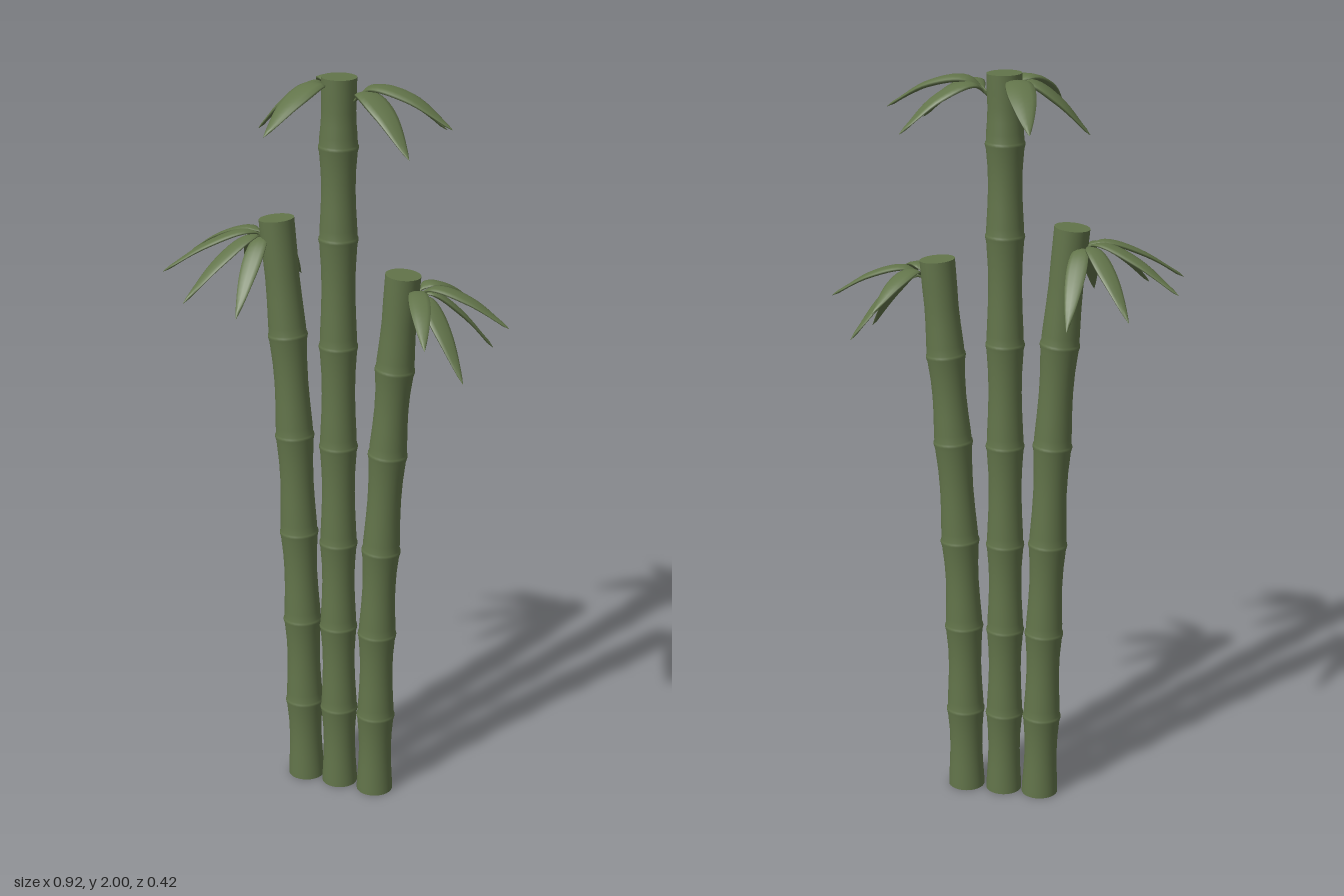
import * as THREE from 'three';
import { mergeVertices } from 'three/addons/utils/BufferGeometryUtils.js';

const green = new THREE.MeshStandardMaterial({ color: 0x62744a });
green.name = 'bamboo green';

// Weld seams and give smooth normals
function smooth(geo) {
  geo.deleteAttribute('uv');
  geo.deleteAttribute('normal');
  const g = mergeVertices(geo, 1e-5);
  g.computeVertexNormals();
  return g;
}

function part(name, geo) {
  const mesh = new THREE.Mesh(geo, green);
  mesh.name = name;
  return mesh;
}

// Jointed stalk: nodes are [y, centre x]; the first is the foot, the last the cut top
function makeStalk(name, nodes, R) {
  const group = new THREE.Group();
  group.name = name;
  const path = new THREE.CatmullRomCurve3(nodes.map(([y, x]) => new THREE.Vector3(x, y, 0)));
  const ys = nodes.map((n) => n[0]);
  const top = ys[ys.length - 1];
  const samples = path.getPoints(80);
  const centre = (y) => {
    const i = Math.max(1, samples.findIndex((p) => p.y >= y - 1e-6));
    const a = samples[i - 1], b = samples[i];
    return a.x + (b.x - a.x) * (y - a.y) / (b.y - a.y);
  };
  // Lean every ring along the path, keeping the foot flat
  const bend = (geo) => {
    const p = geo.attributes.position;
    for (let i = 0; i < p.count; i++) {
      const x = p.getX(i), y = p.getY(i);
      const y0 = Math.max(0, y - 0.02), y1 = Math.min(top, y + 0.02);
      const slope = y < 0.01 ? 0 : (centre(y1) - centre(y0)) / (y1 - y0);
      p.setXY(i, centre(y) + x, y - slope * x);
    }
    return smooth(geo);
  };
  const profile = [];
  const add = (r, y) => profile.push(new THREE.Vector2(r * R, y));
  for (let i = 0; i < ys.length - 1; i++) {
    const a = ys[i], b = ys[i + 1], h = b - a;
    add(0.97, a);
    add(0.96, a + 0.02);
    add(0.9, a + h * 0.3);
    add(0.87, a + h * 0.5);
    add(0.89, a + h * 0.7);
    if (i < ys.length - 2) {
      add(0.97, b - 0.022);
      add(1.03, b - 0.01);
      add(1.02, b - 0.004);
    } else add(0.9, b);
  }
  group.add(part('stem', bend(new THREE.LatheGeometry(profile, 28))));
  const lid = new THREE.CircleGeometry(R * 0.9, 28).rotateX(-Math.PI / 2).translate(0, top, 0);
  const foot = new THREE.CircleGeometry(R * 0.97, 28).rotateX(Math.PI / 2);
  group.add(part('cutTop', bend(lid)), part('foot', bend(foot)));
  return group;
}

// Arched leaf with a thin stalk, swept as a flat oval from base to tip
function makeLeaf(base, tip, width, lift) {
  const a = new THREE.Vector3(...base), b = new THREE.Vector3(...tip);
  const at = (t, up) => a.clone().lerp(b, t).add(new THREE.Vector3(0, up, 0));
  const curve = new THREE.CatmullRomCurve3([a, at(0.2, lift), at(0.58, lift), b]);
  const shape = (t) => {
    if (t < 0.16) return 0.1;
    const s = (t - 0.16) / 0.84;
    return 0.1 * (1 - s) + 0.95 * Math.pow(Math.sin(Math.PI * Math.pow(s, 0.88)), 0.85);
  };
  const geo = new THREE.CylinderGeometry(1, 1, 1, 10, 20, true);
  const p = geo.attributes.position;
  const up = new THREE.Vector3(0, 1, 0);
  const v = new THREE.Vector3();
  for (let i = 0; i < p.count; i++) {
    const t = Math.min(1, Math.max(0, p.getY(i) + 0.5));
    const tangent = curve.getTangent(t);
    const side = tangent.clone().cross(up).normalize();
    const normal = side.clone().cross(tangent);
    const w = Math.max(0.0005, shape(t) * width / 2);
    const thick = Math.max(w * 0.26, Math.min(w, 0.004));
    v.copy(curve.getPoint(t))
      .addScaledVector(side, p.getX(i) * w)
      .addScaledVector(normal, p.getZ(i) * thick);
    p.setXYZ(i, v.x, v.y, v.z);
  }
  return part('leaf', smooth(geo));
}

function makeLeaves(name, base, width, lift, tips) {
  const group = new THREE.Group();
  group.name = name;
  for (const tip of tips) group.add(makeLeaf(base, tip, width, lift));
  return group;
}

export function createModel() {
  const model = new THREE.Group();
  model.name = 'bamboo';

  model.add(
    makeStalk('middleStalk', [[0, 0.004], [0.24, 0.002], [0.49, 0], [0.74, 0], [1.02, 0], [1.3, 0],
      [1.59, 0], [1.83, 0], [2, 0.002]], 0.05),
    makeStalk('rightStalk', [[0, -0.098], [0.24, -0.103], [0.49, -0.108], [0.75, -0.117],
      [1.03, -0.128], [1.31, -0.146], [1.615, -0.175]], 0.051),
    makeStalk('leftStalk', [[0, 0.11], [0.24, 0.112], [0.49, 0.115], [0.74, 0.125],
      [1.02, 0.142], [1.26, 0.16], [1.51, 0.18]], 0.051),
  );

  // Leaf sprays near each cut top
  model.add(
    makeLeaves('middleLeavesLeft', [0.04, 1.94, 0], 0.072, 0.048,
      [[0.24, 1.86, -0.13], [0.25, 1.85, 0.14], [0.31, 1.9, 0.01]]),
    makeLeaves('middleLeavesRight', [-0.025, 1.965, 0], 0.076, 0.035,
      [[-0.105, 1.885, -0.19], [-0.105, 1.885, 0.21], [-0.215, 1.85, 0.015]]),
    makeLeaves('rightLeaves', [-0.205, 1.565, 0], 0.053, 0.03,
      [[-0.46, 1.47, -0.06], [-0.445, 1.47, 0.12], [-0.355, 1.425, -0.175],
        [-0.34, 1.425, 0.21], [-0.205, 1.4, -0.21], [-0.195, 1.4, 0.2]]),
    makeLeaves('leftLeaves', [0.215, 1.46, 0], 0.056, 0.035,
      [[0.46, 1.4, -0.02], [0.385, 1.31, -0.11], [0.39, 1.285, 0.11],
        [0.31, 1.4, -0.165], [0.32, 1.39, 0.195]]),
  );
  return model;
}
